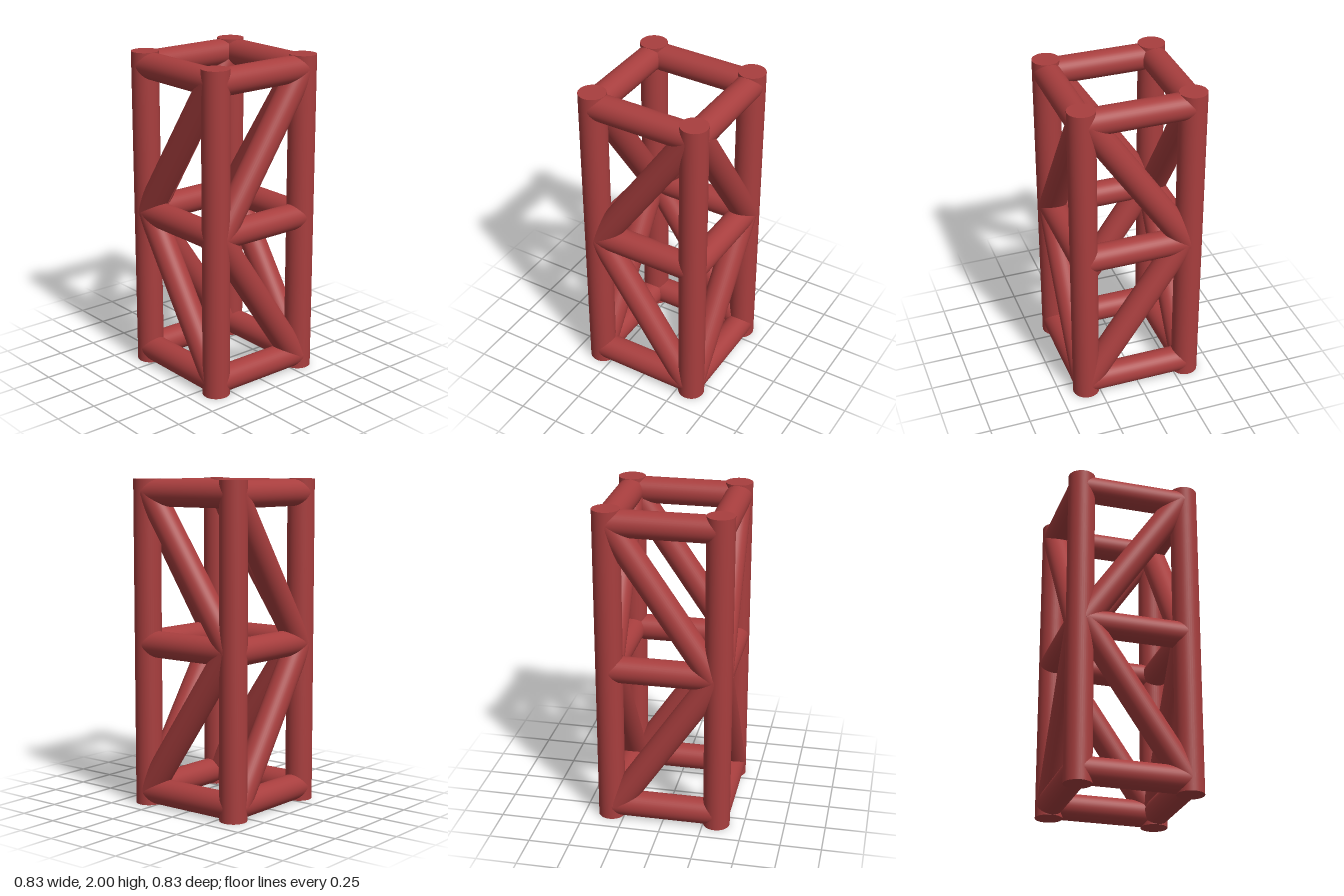
import * as THREE from 'three';

const HALF = 0.332;   // post axis distance from the centre
const R = 0.083;      // tube radius of the posts
const UP = new THREE.Vector3(0, 1, 0);

export function createModel() {
  const group = new THREE.Group();
  const material = new THREE.MeshStandardMaterial({ color: 0xa83e3e });

  // Straight round tube between two points
  function tube(name, a, b, radius) {
    const from = new THREE.Vector3(...a);
    const dir = new THREE.Vector3(...b).sub(from);
    const mesh = new THREE.Mesh(
      new THREE.CylinderGeometry(radius, radius, dir.length(), 40), material);
    mesh.name = name;
    mesh.position.copy(from).addScaledVector(dir, 0.5);
    mesh.quaternion.setFromUnitVectors(UP, dir.normalize());
    group.add(mesh);
  }

  // Four corner posts
  for (const x of [-HALF, HALF])
    for (const z of [-HALF, HALF]) tube('cornerPost', [x, 0, z], [x, 2, z], R);

  // Square rings of crossbars at the bottom, middle and top
  const levels = [['bottomCrossbar', 0.083], ['middleCrossbar', 1.0], ['topCrossbar', 1.917]];
  for (const [name, y] of levels)
    for (const s of [-HALF, HALF]) {
      tube(name, [-HALF, y, s], [HALF, y, s], 0.0815);
      tube(name, [s, y, -HALF], [s, y, HALF], 0.0815);
    }

  // Diagonal braces, two on each face, meeting at mid height
  for (const s of [-HALF, HALF]) {
    tube('upperBrace', [-0.3, 1, s], [0.323, 1.917, s], 0.082);
    tube('lowerBrace', [-0.323, 1, s], [0.296, 0.083, s], 0.082);
    tube('upperSideBrace', [s, 1, -0.32], [s, 1.917, 0.302], 0.082);
    tube('lowerSideBrace', [s, 1, -0.297], [s, 0.083, 0.323], 0.082);
  }

  return group;
}
